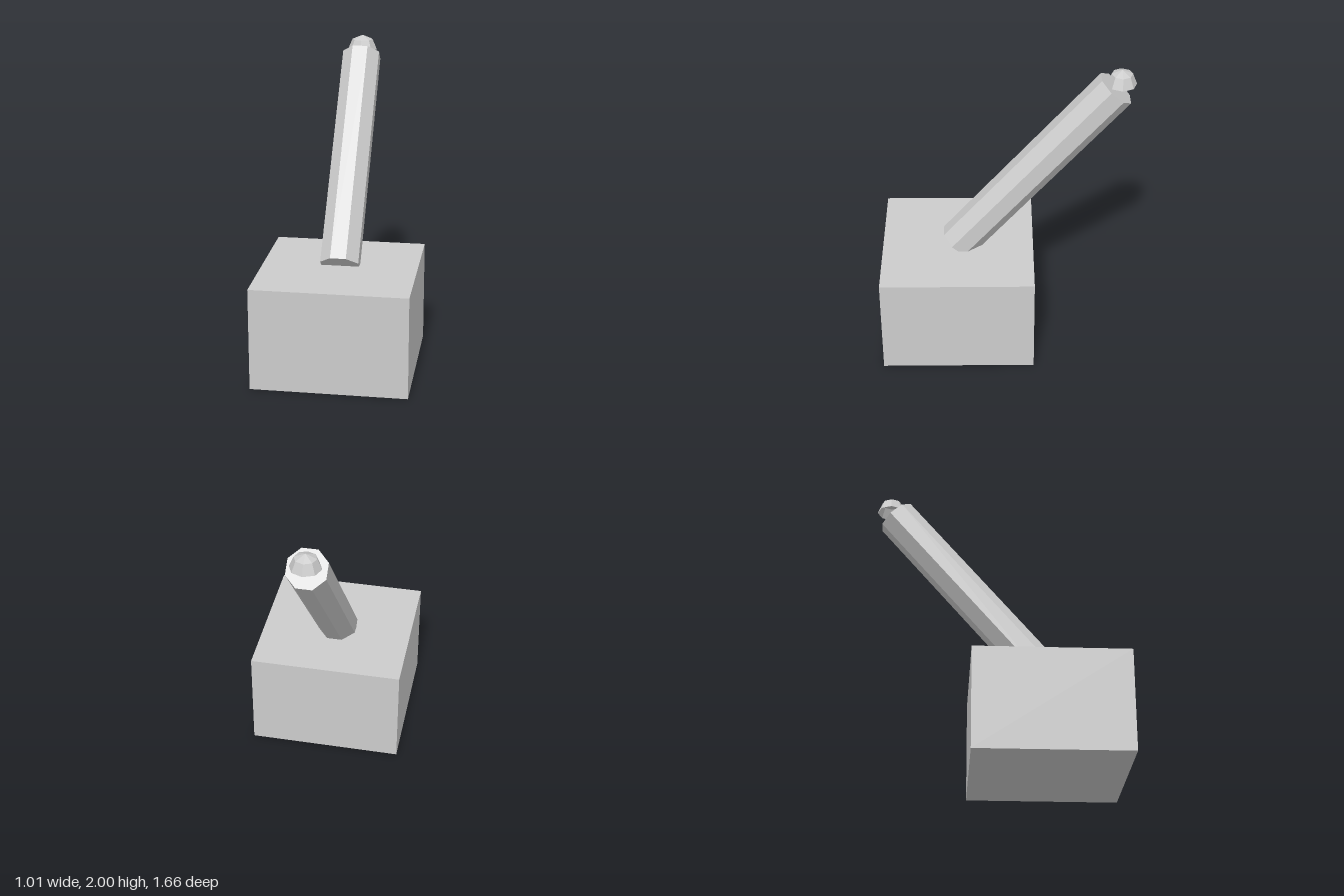
import * as THREE from 'three';

export function createModel() {
  const model = new THREE.Group();
  const grey = new THREE.MeshStandardMaterial({ color: 0xcccccc, flatShading: true, side: THREE.DoubleSide });
  grey.name = 'grey';

  const add = (name, geometry, x, y, z) => {
    const mesh = new THREE.Mesh(geometry, grey);
    mesh.name = name;
    mesh.position.set(x, y, z);
    model.add(mesh);
    return mesh;
  };

  // Square base block
  const baseZ = 0.321, baseTop = 0.677;
  add('base', new THREE.BoxGeometry(1.013, baseTop, 1.013), 0, baseTop / 2, baseZ);

  // Octagonal lever, flat sides facing front and sides, leaning back from the block's top
  const length = 1.564;
  const shaft = new THREE.CylinderGeometry(0.135, 0.135, length, 8);
  shaft.rotateY(Math.PI / 8);
  shaft.translate(0, length / 2, 0);
  add('lever', shaft, 0, baseTop + 0.003, baseZ).rotation.x = -0.709;

  // Open half-dome button behind the lever's upper end
  const dome = new THREE.SphereGeometry(0.1, 8, 2, 0, Math.PI * 2, 0, Math.PI / 2);
  dome.scale(1, 1, 0.96);
  add('button', dome, 0, 1.9, -0.732);

  return model;
}
